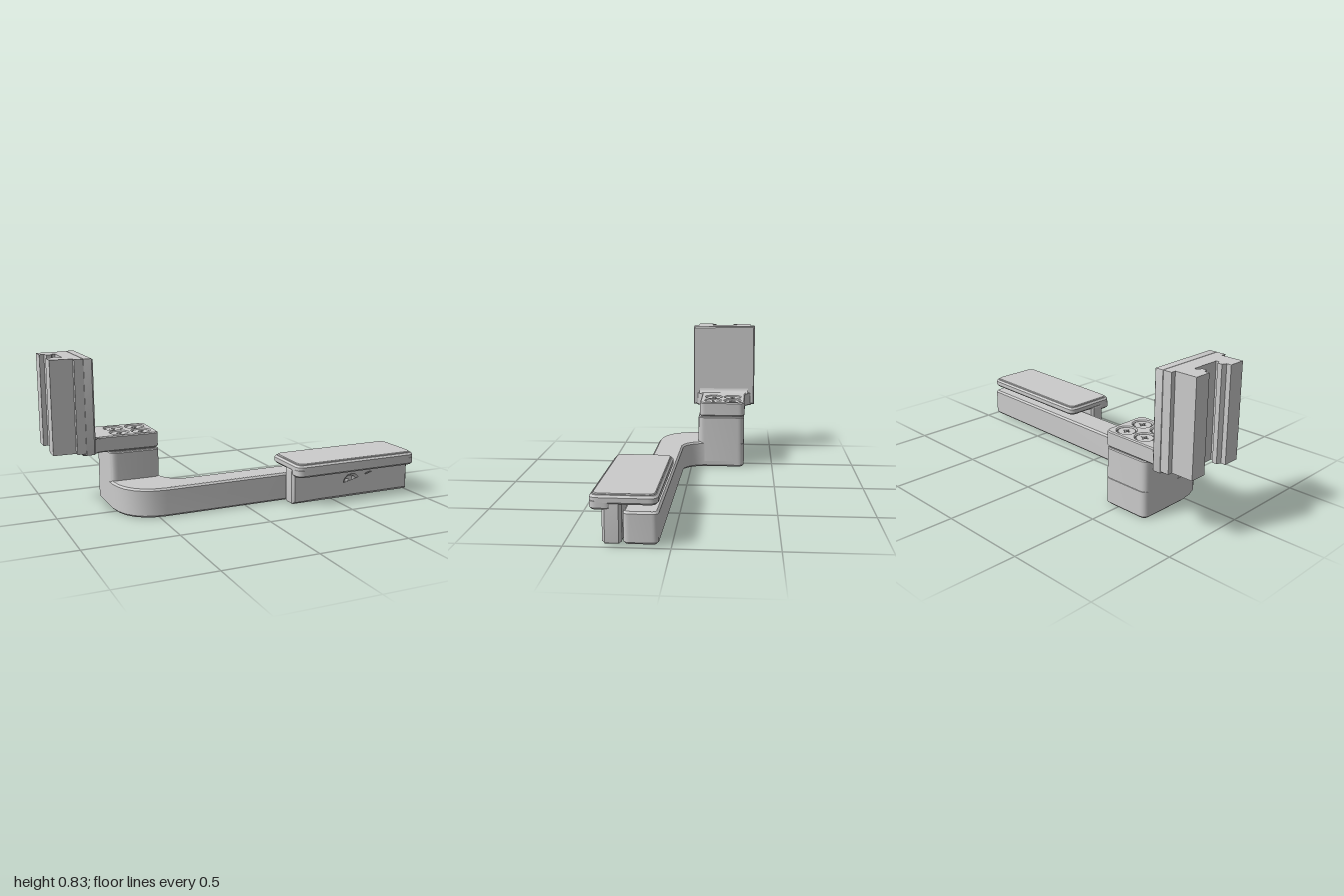
import * as THREE from 'three';
import { toCreasedNormals } from 'three/addons/utils/BufferGeometryUtils.js';

const grey = new THREE.MeshStandardMaterial({ color: 0xcccccc });

function add(parent, name, geometry) {
  const mesh = new THREE.Mesh(toCreasedNormals(geometry, 0.6), grey);
  mesh.name = name;
  parent.add(mesh);
  return mesh;
}

function roundedRect(x0, x1, y0, y1, r) {
  const s = new THREE.Shape();
  s.moveTo(x0 + r, y0);
  s.lineTo(x1 - r, y0).quadraticCurveTo(x1, y0, x1, y0 + r);
  s.lineTo(x1, y1 - r).quadraticCurveTo(x1, y1, x1 - r, y1);
  s.lineTo(x0 + r, y1).quadraticCurveTo(x0, y1, x0, y1 - r);
  s.lineTo(x0, y0 + r).quadraticCurveTo(x0, y0, x0 + r, y0);
  return s;
}

function punch(shape, centres, r) {
  for (const [x, y] of centres) {
    shape.holes.push(new THREE.Path().absarc(x, y, r, 0, Math.PI * 2, true));
  }
  return shape;
}

// Chamfered slab from a to b; the chamfer stays within the outline
function slab(shape, a, b, bevel = 0) {
  return new THREE.ExtrudeGeometry(shape, {
    depth: b - a - 2 * bevel, bevelEnabled: bevel > 0, bevelThickness: bevel,
    bevelSize: bevel, bevelOffset: -bevel, bevelSegments: 1, curveSegments: 6,
  }).translate(0, 0, a + bevel);
}
// Plan outlines are drawn as (x, -z), side outlines as (-z, y)
const upward = (...args) => slab(...args).rotateX(-Math.PI / 2);
const sideways = (...args) => slab(...args).rotateY(Math.PI / 2);

// Screw head facing +z, with a four-pointed driver recess
function screw(parent, name, r, h) {
  const group = new THREE.Group();
  group.name = name;
  const star = [];
  for (let i = 0; i < 8; i++) {
    const a = i * Math.PI / 4 + 0.15, d = r * (i % 2 ? 0.2 : 0.52);
    star.push(new THREE.Vector2(Math.cos(a) * d, Math.sin(a) * d));
  }
  const head = new THREE.Shape().absarc(0, 0, r, 0, Math.PI * 2, false);
  head.holes.push(new THREE.Path(star.reverse()));
  add(group, 'screwHead', slab(head, 0, h));
  add(group, 'recessFloor', new THREE.CircleGeometry(r * 0.9, 16).translate(0, 0, h * 0.25));
  parent.add(group);
  return group;
}

export function createModel() {
  const model = new THREE.Group();
  model.name = 'bracketArm';

  // Slotted rail clamp: half profile mirrored about its centre line
  const mid = 0.188;
  const half = [[-0.8, 0.196], [-0.88, 0.196], [-0.88, 0.17], [-1, 0.17], [-1, 0.08],
    [-0.975, 0.08], [-0.965, 0.057], [-0.94, 0.057], [-0.932, 0.08], [-0.915, 0.08]];
  const outline = [...half, ...half.map(([x, d]) => [x, -d]).reverse()];
  const rail = new THREE.Shape(outline.map(([x, d]) => new THREE.Vector2(x, mid + d)));
  add(model, 'railClamp', upward(rail, 0.335, 0.834));

  // Face plate with countersunk screws
  const faceScrews = [0.06, 0.315].flatMap((u) => [0.5, 0.672].map((y) => [u, y]));
  const face = punch(roundedRect(-0.009, 0.386, 0.325, 0.835, 0.004), faceScrews, 0.047);
  add(model, 'facePlate', sideways(face, -0.84, -0.78, 0.009));
  for (const [u, y] of faceScrews) {
    const s = screw(model, 'faceScrew', 0.044, 0.013);
    s.position.set(-0.801, y, -u);
    s.rotation.y = Math.PI / 2;
  }

  // Flared shelf joining the face plate to the post
  const shelf = new THREE.Shape();
  shelf.moveTo(-0.85, 0.01);
  shelf.lineTo(-0.785, 0.01).quadraticCurveTo(-0.765, 0.05, -0.72, 0.05);
  shelf.lineTo(-0.445, 0.05).quadraticCurveTo(-0.41, 0.05, -0.41, 0.085);
  shelf.lineTo(-0.41, 0.285).quadraticCurveTo(-0.41, 0.325, -0.45, 0.325);
  shelf.lineTo(-0.72, 0.328).quadraticCurveTo(-0.765, 0.33, -0.785, 0.368);
  shelf.lineTo(-0.85, 0.368);
  const shelfScrews = [-0.613, -0.49].flatMap((x) => [0.13, 0.25].map((u) => [x, u]));
  add(model, 'shelf', upward(punch(shelf, shelfScrews, 0.05), 0.32, 0.405, 0.006));
  for (const [x, u] of shelfScrews) {
    const s = screw(model, 'shelfScrew', 0.046, 0.02);
    s.position.set(x, 0.38, -u);
    s.rotation.x = -Math.PI / 2;
  }
  add(model, 'shelfCore', upward(roundedRect(-0.68, -0.42, 0.06, 0.315, 0.03), 0.3, 0.382));

  // Small fillet between shelf and face plate
  const fillet = new THREE.Shape();
  fillet.moveTo(-0.79, 0.4);
  fillet.lineTo(-0.745, 0.4).quadraticCurveTo(-0.775, 0.405, -0.78, 0.43).lineTo(-0.79, 0.43);
  add(model, 'fillet', slab(fillet, -0.345, -0.03));

  // Post
  add(model, 'post', upward(roundedRect(-0.69, -0.41, 0.042, 0.323, 0.04), 0.03, 0.314, 0.005));

  // Curved arm, rising slightly towards its tip
  const arm = new THREE.Shape();
  arm.moveTo(-0.69, 0.285);
  arm.lineTo(-0.69, 0.03).bezierCurveTo(-0.68, -0.12, -0.6, -0.2, -0.46, -0.203);
  arm.lineTo(0.3, -0.21).lineTo(0.96, -0.222).quadraticCurveTo(0.99, -0.222, 0.99, -0.19);
  arm.lineTo(0.99, -0.09).quadraticCurveTo(0.99, -0.058, 0.96, -0.058);
  arm.lineTo(-0.3, -0.043).bezierCurveTo(-0.37, -0.04, -0.405, 0.03, -0.41, 0.08);
  arm.lineTo(-0.41, 0.285).quadraticCurveTo(-0.41, 0.325, -0.45, 0.325);
  arm.lineTo(-0.65, 0.325).quadraticCurveTo(-0.69, 0.325, -0.69, 0.285);
  const armGeometry = upward(arm, 0, 0.156, 0.01);
  const p = armGeometry.attributes.position;
  for (let i = 0; i < p.count; i++) {
    p.setY(i, p.getY(i) + 0.009 * Math.max(0, p.getX(i) + 0.3));
  }
  add(model, 'arm', armGeometry);

  // Pad holder, tilted to follow the arm
  const holder = new THREE.Group();
  holder.name = 'padHolder';
  holder.position.set(0.62, 0.006, 0);
  holder.rotation.set(0, -0.012, 0.008);
  model.add(holder);

  const holderScrews = [[-0.007, 0.083], [0.115, 0.083]];
  const wall = punch(roundedRect(-0.383, 0.372, 0.003, 0.2, 0.01), holderScrews, 0.042);
  add(holder, 'holderWall', slab(wall, 0.222, 0.315, 0.014));
  for (const [x, y] of holderScrews) {
    screw(holder, 'holderScrew', 0.041, 0.03).position.set(x, y, 0.225);
  }
  add(holder, 'padLip', upward(roundedRect(-0.38, 0.378, -0.374, -0.262, 0.04), 0.164, 0.215, 0.01));
  add(holder, 'pad', upward(roundedRect(-0.38, 0.378, -0.374, -0.055, 0.045), 0.19, 0.233, 0.01));
  add(holder, 'padTop', upward(roundedRect(-0.366, 0.364, -0.36, -0.068, 0.04), 0.225, 0.24, 0.004));

  return model;
}
